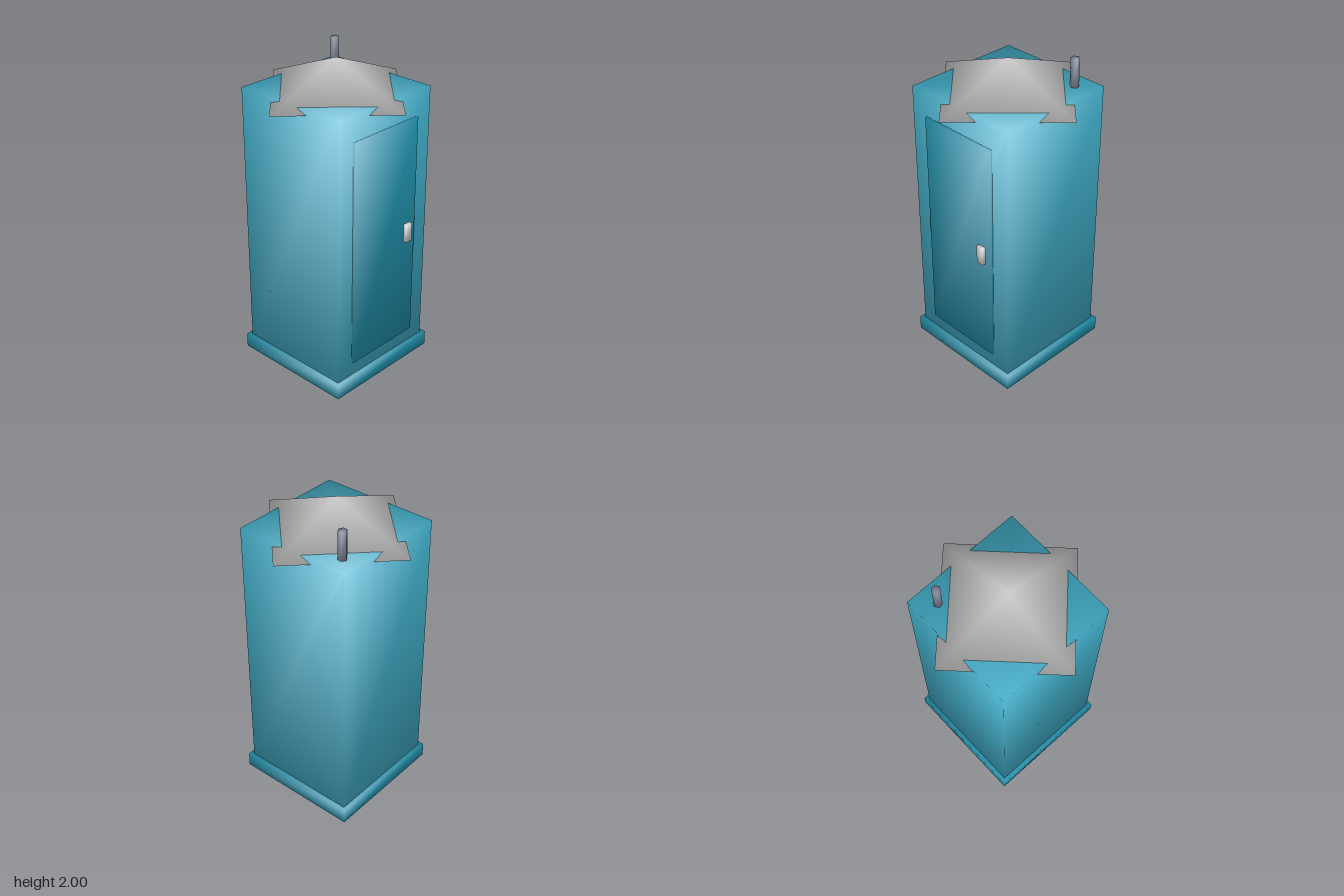
import * as THREE from 'three';
import { mergeVertices } from 'three/addons/utils/BufferGeometryUtils.js';

const TEAL = 0x3faac5, DARK_TEAL = 0x208ea9, GREY = 0xcccccc, STEEL = 0x7a8294;

// Weld shared corners and give each one a single rounded normal
function soften(geometry, normalAt) {
  geometry.deleteAttribute('uv');
  geometry.deleteAttribute('normal');
  const welded = mergeVertices(geometry, 1e-4);
  const p = welded.attributes.position;
  const normals = new Float32Array(p.count * 3);
  const v = new THREE.Vector3();
  for (let i = 0; i < p.count; i++) {
    normalAt(v.fromBufferAttribute(p, i)).normalize().toArray(normals, i * 3);
  }
  welded.setAttribute('normal', new THREE.BufferAttribute(normals, 3));
  return welded;
}

function part(name, geometry, color, x, y, z) {
  const mesh = new THREE.Mesh(geometry, new THREE.MeshStandardMaterial({ color }));
  mesh.name = name;
  mesh.position.set(x, y, z);
  return mesh;
}

// Soft-shaded box given by its lower and upper corners
function softBox(name, color, [x0, y0, z0], [x1, y1, z1]) {
  const geometry = soften(new THREE.BoxGeometry(x1 - x0, y1 - y0, z1 - z0),
    v => v.set(Math.sign(v.x), Math.sign(v.y), Math.sign(v.z)));
  return part(name, geometry, color, (x0 + x1) / 2, (y0 + y1) / 2, (z0 + z1) / 2);
}

export function createModel() {
  const cabin = new THREE.Group();
  cabin.name = 'cabin';

  // Plinth, walls, door and handle
  cabin.add(softBox('base', DARK_TEAL, [-0.415, 0, -0.415], [0.415, 0.095, 0.415]));
  cabin.add(softBox('body', TEAL, [-0.39, 0.09, -0.39], [0.39, 1.82, 0.39]));
  cabin.add(softBox('door', DARK_TEAL, [-0.27, 0.19, 0.37], [0.27, 1.665, 0.405]));
  cabin.add(softBox('doorHandle', GREY, [0.17, 0.87, 0.4], [0.22, 0.99, 0.428]));

  // Four-sided roof turned so its corners overhang the walls
  const height = 0.21;
  const roof = soften(new THREE.ConeGeometry(0.535, height, 4), v => {
    const r = Math.hypot(v.x, v.z);
    if (r < 0.01) return v.set(0, Math.sign(v.y), 0);
    return v.set(v.x / r, -0.285, v.z / r);
  });
  cabin.add(part('roof', roof, GREY, 0, 2 - height / 2, 0));

  // Six-sided vent pipe at the back
  const pipe = soften(new THREE.CylinderGeometry(0.028, 0.028, 0.2, 6), v => {
    const r = Math.hypot(v.x, v.z);
    if (r < 0.01) return v.set(0, Math.sign(v.y), 0);
    return v.set(v.x / r, Math.sign(v.y) * 0.7, v.z / r);
  });
  cabin.add(part('ventPipe', pipe, STEEL, 0.27, 1.9, -0.27));

  return cabin;
}
